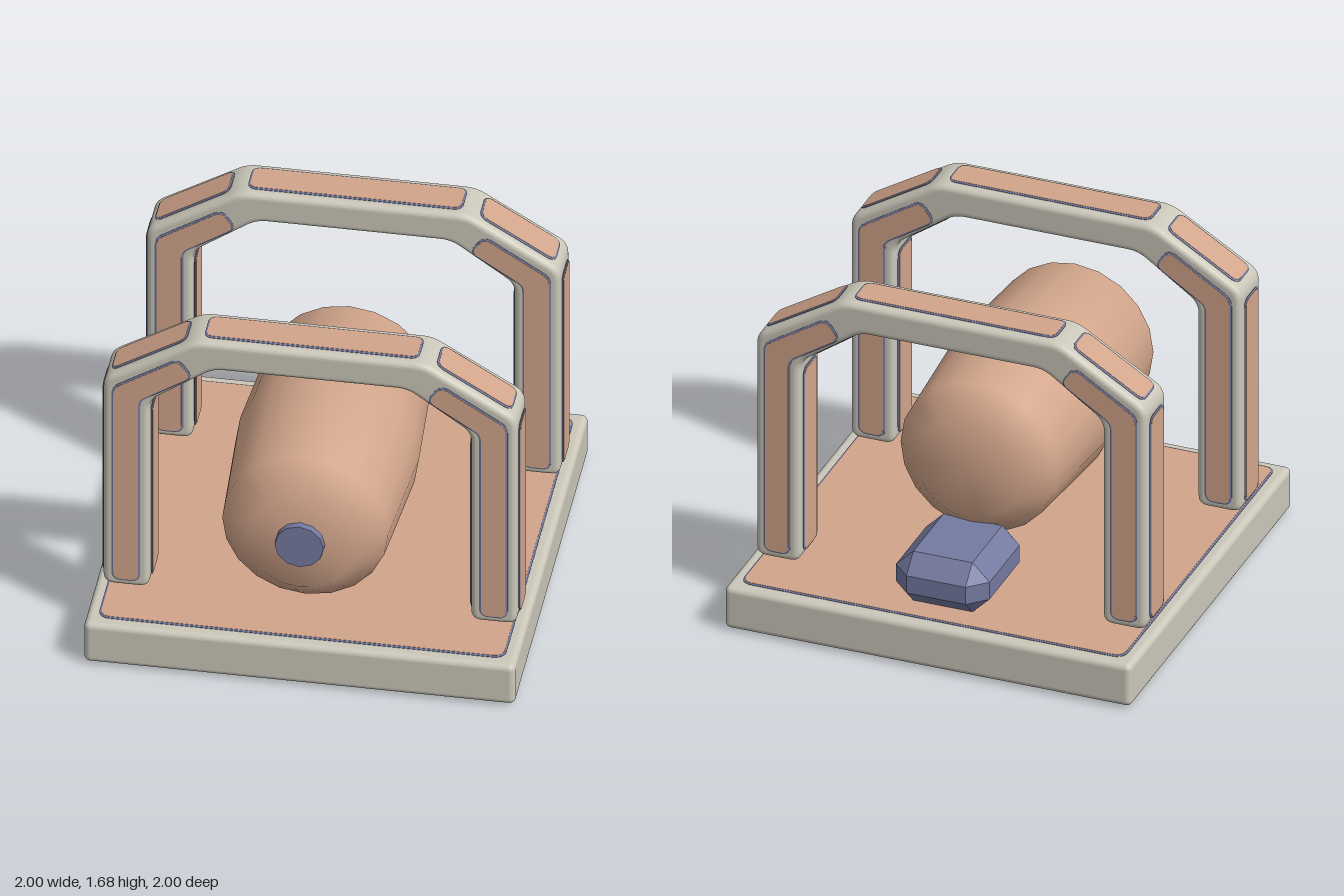
import * as THREE from 'three';
import { RoundedBoxGeometry } from 'three/addons/geometries/RoundedBoxGeometry.js';
import { ConvexGeometry } from 'three/addons/geometries/ConvexGeometry.js';

const material = (name, color, extra = {}) => {
  const m = new THREE.MeshStandardMaterial({ color, ...extra });
  m.name = name;
  return m;
};

const V = (x, y, z = 0) => new THREE.Vector3(x, y, z);

// Closed polygon with rounded corners
function roundedPolygon(points, radius) {
  const shape = new THREE.Shape();
  const pts = points.map(([x, y]) => new THREE.Vector2(x, y));
  const n = pts.length;
  pts.forEach((p, i) => {
    const toward = q => p.clone().add(q.clone().sub(p).setLength(radius));
    const start = toward(pts[(i + n - 1) % n]);
    const end = toward(pts[(i + 1) % n]);
    if (i === 0) shape.moveTo(start.x, start.y);
    else shape.lineTo(start.x, start.y);
    shape.quadraticCurveTo(p.x, p.y, end.x, end.y);
  });
  shape.closePath();
  return shape;
}

const rectangle = (w, h) => [[-w / 2, -h / 2], [w / 2, -h / 2], [w / 2, h / 2], [-w / 2, h / 2]];

export function createModel() {
  const cream = material('cream', 0xcbc8ba);
  const tan = material('tan', 0xd2a58b);
  const blue = material('slate blue', 0x747aa0);
  const rock = material('slate blue faceted', 0x747aa0, { flatShading: true });

  const model = new THREE.Group();
  model.name = 'barrelUnderArches';

  const add = (parent, name, geometry, mat) => {
    const mesh = new THREE.Mesh(geometry, mat);
    mesh.name = name;
    parent.add(mesh);
    return mesh;
  };

  // Thin tan plate with a blue rim, facing local +z
  function panel(name, points, radius = 0.035) {
    const group = new THREE.Group();
    group.name = name;
    const shape = roundedPolygon(points, radius);
    const rim = new THREE.ExtrudeGeometry(shape, {
      depth: 0.002, bevelThickness: 0.003, bevelSize: 0.009, bevelSegments: 1, curveSegments: 5,
    }).translate(0, 0, 0.003);
    add(group, 'panelRim', rim, blue);
    const face = new THREE.ExtrudeGeometry(shape, { depth: 0.0095, bevelEnabled: false, curveSegments: 5 });
    add(group, 'panelFace', face, tan);
    return group;
  }

  // Base slab with a panel above and below
  const base = new THREE.Group();
  base.name = 'base';
  model.add(base);
  add(base, 'slab', new RoundedBoxGeometry(2, 0.218, 2, 4, 0.03), cream).position.y = 0.119;
  for (const side of [1, -1]) {
    const plate = panel(side > 0 ? 'topPlate' : 'bottomPlate', rectangle(1.87, 1.87), 0.05);
    plate.rotation.x = -side * Math.PI / 2;
    plate.position.y = side > 0 ? 0.228 : 0.0095;
    base.add(plate);
  }

  // Arch outline: right half, mirrored to the left
  const outer = [[0.96, 0.25], [0.96, 1.41], [0.53, 1.67]];
  const inner = [[0.45, 1.515], [0.745, 1.305], [0.745, 0.25]];
  const flip = list => list.map(([x, y]) => [-x, y]).reverse();
  const outline = [...outer, ...flip(outer), ...flip(inner), ...inner];
  const width = 0.25, bevel = 0.03;

  // Panel strips on the arch edges: centre, outward normal, length
  const slopeOut = V(0.26, 0.425).normalize();
  const slopeIn = V(-0.21, -0.295).normalize();
  const strips = [
    ['outerLegPanel', V(0.96, 0.82), V(1, 0), 1.05],
    ['innerLegPanel', V(0.745, 0.77), V(-1, 0), 0.95],
    ['outerSlopePanel', V(0.752, 1.536), slopeOut, 0.395],
    ['innerSlopePanel', V(0.5975, 1.41), slopeIn, 0.26],
  ];
  const bentPanel = [[0.795, 0.295], [0.91, 0.295], [0.91, 1.37], [0.61, 1.56], [0.55, 1.475], [0.795, 1.315]];

  function strip(name, centre, normal, length) {
    const p = panel(name, rectangle(length, 0.15));
    const across = V(0, 0, 1);
    p.quaternion.setFromRotationMatrix(
      new THREE.Matrix4().makeBasis(across.clone().negate().cross(normal).negate(), across, normal));
    p.position.copy(centre);
    return p;
  }

  function arch(name) {
    const group = new THREE.Group();
    group.name = name;
    const depth = width - 2 * bevel;
    const frame = new THREE.ExtrudeGeometry(roundedPolygon(outline, 0.05), {
      depth, bevelThickness: bevel, bevelSize: bevel, bevelOffset: -bevel, bevelSegments: 6, curveSegments: 6,
    }).translate(0, 0, -depth / 2);
    add(group, 'archFrame', frame, cream);
    for (const s of [1, -1]) {
      for (const [label, c, n, length] of strips) {
        group.add(strip(label, V(c.x * s, c.y), V(n.x * s, n.y), length));
      }
      // Bent panels on the front and back faces
      for (const face of [1, -1]) {
        const bent = panel('bentPanel', bentPanel.map(([x, y]) => [x * s, y]));
        bent.position.z = face * width / 2;
        if (face < 0) bent.rotation.y = Math.PI;
        group.add(bent);
      }
    }
    group.add(strip('topPanel', V(0, 1.67), V(0, 1), 0.98));
    group.add(strip('undersidePanel', V(0, 1.515), V(0, -1), 0.76));
    return group;
  }

  for (const [name, z] of [['frontArch', 0.585], ['backArch', -0.585]]) {
    const a = arch(name);
    a.position.z = z;
    model.add(a);
  }

  // Barrel lying along z
  const profile = [[0, -0.495], [0.25, -0.495], [0.385, -0.36], [0.425, 0.235], [0.385, 0.83], [0.25, 0.965], [0, 0.965]];
  const barrel = new THREE.LatheGeometry(profile.map(([r, y]) => new THREE.Vector2(r, y)), 20).rotateX(Math.PI / 2);
  add(model, 'barrel', barrel, tan).position.y = 0.785;

  // Button on the front of the barrel
  const button = new THREE.CylinderGeometry(0.113, 0.115, 0.035, 12).rotateX(Math.PI / 2);
  add(model, 'frontButton', button, blue).position.set(0, 0.785, 0.98);

  // Chamfered block behind the barrel
  const [w, h, d, c] = [0.23, 0.13, 0.27, 0.085];
  const corners = [];
  for (const x of [-1, 1]) for (const y of [-1, 1]) for (const z of [-1, 1]) {
    corners.push(V(x * w, y * (h - c), z * (d - c)), V(x * (w - c), y * h, z * (d - c)), V(x * (w - c), y * (h - c), z * d));
  }
  add(model, 'rearBlock', new ConvexGeometry(corners), rock).position.set(0, 0.363, -0.62);

  return model;
}
